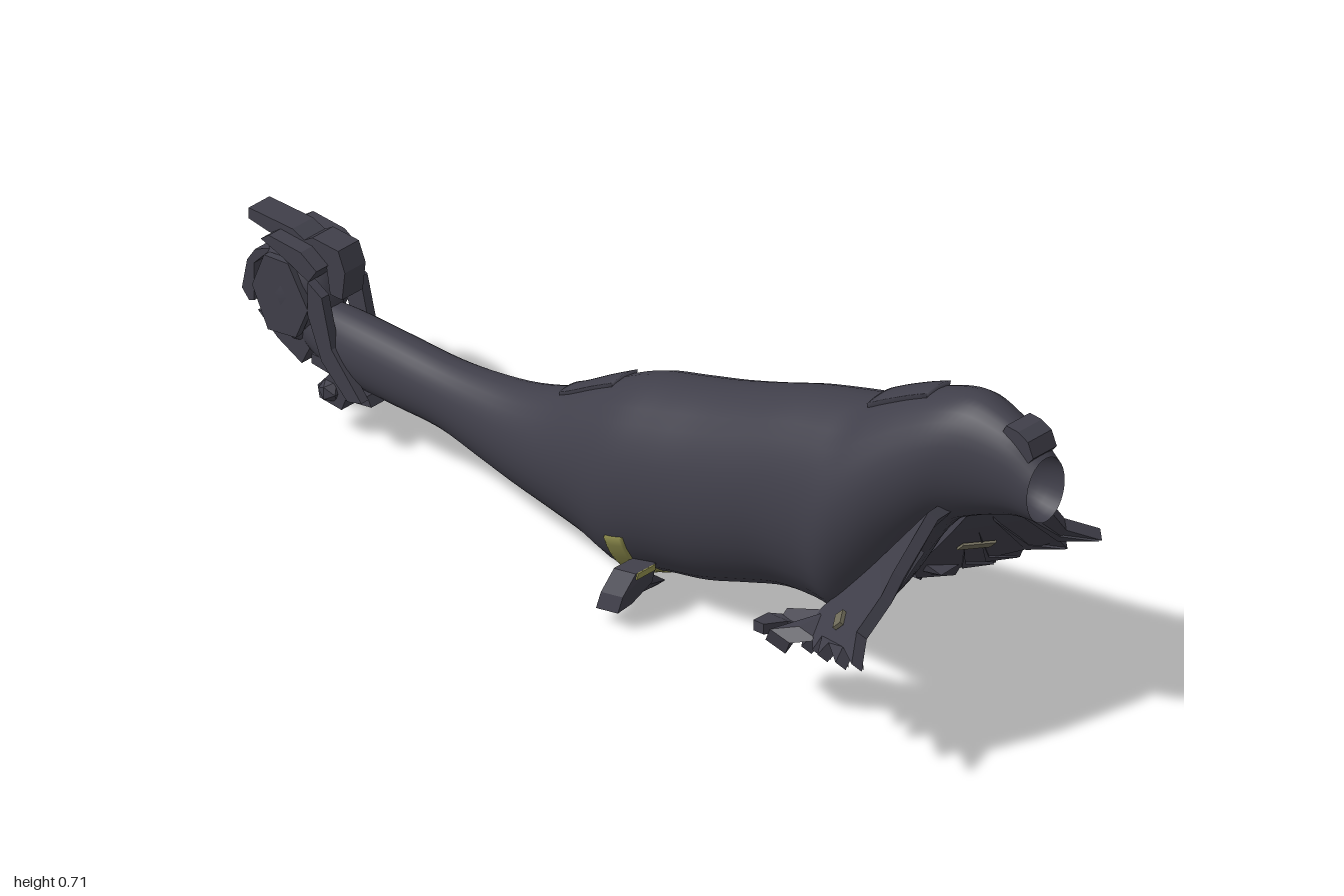
import * as THREE from 'three';

const mat = (name, color) => {
  const m = new THREE.MeshStandardMaterial({ color, side: THREE.DoubleSide });
  m.name = name;
  return m;
};

// Hull stations: x, top y, bottom y, half width
const stations = [
  [-0.86, 0.25, 0.15, 0.035], [-0.75, 0.255, 0.115, 0.052], [-0.62, 0.253, 0.108, 0.055],
  [-0.5, 0.25, 0.107, 0.057], [-0.4, 0.258, 0.088, 0.066], [-0.3, 0.275, 0.07, 0.081],
  [-0.2, 0.31, 0.057, 0.1], [-0.1, 0.368, 0.042, 0.122], [0, 0.42, 0.018, 0.143],
  [0.1, 0.45, 0.048, 0.147], [0.2, 0.48, 0.07, 0.147], [0.3, 0.515, 0.105, 0.147],
  [0.4, 0.553, 0.137, 0.147], [0.5, 0.583, 0.146, 0.155], [0.57, 0.603, 0.148, 0.163],
  [0.63, 0.635, 0.22, 0.152], [0.7, 0.67, 0.33, 0.13], [0.78, 0.703, 0.425, 0.107],
  [0.84, 0.715, 0.462, 0.088], [0.9, 0.703, 0.487, 0.071], [0.95, 0.682, 0.503, 0.06],
  [1, 0.643, 0.508, 0.051],
];
const curve = (f) => new THREE.CatmullRomCurve3(stations.map(f), false, 'catmullrom', 0.5);
const heights = curve((s) => new THREE.Vector3(s[0], s[1], s[2]));
const widths = curve((s) => new THREE.Vector3(s[0], s[3], 0));

// Point on the hull: u along it, angle t from the top, d outwards
function hullPoint(u, t, d = 0) {
  const p = heights.getPoint(u), w = widths.getPoint(u).y;
  const c = (p.y + p.z) / 2, h = (p.y - p.z) / 2;
  return new THREE.Vector3(p.x, c + (h + d) * Math.cos(t), (w + d) * Math.sin(t));
}

function uAtX(x) {
  let a = 0, b = 1;
  for (let k = 0; k < 30; k++) {
    const m = (a + b) / 2;
    if (heights.getPoint(m).x < x) a = m; else b = m;
  }
  return a;
}

// Smooth surface from rows of points
function surface(fn, rows, cols, closed) {
  const pos = [], idx = [], n = closed ? cols : cols + 1;
  for (let i = 0; i <= rows; i++) for (let j = 0; j < n; j++) pos.push(...fn(i, j).toArray());
  for (let i = 0; i < rows; i++) for (let j = 0; j < cols; j++) {
    const k = (j + 1) % n, a = i * n + j, b = i * n + k, c = a + n, d = b + n;
    idx.push(a, b, c, b, d, c);
  }
  const g = new THREE.BufferGeometry();
  g.setAttribute('position', new THREE.Float32BufferAttribute(pos, 3));
  g.setIndex(idx);
  g.computeVertexNormals();
  return g;
}

// Raised panel that follows the hull
function panel(x0, x1, t0, t1, rise) {
  const u0 = uAtX(x0), u1 = uAtX(x1), R = 10, C = 24;
  return surface((i, j) => {
    const edge = i === 0 || i === R || j === 0 || j === C;
    const a = Math.min(Math.max(i - 1, 0), R - 2) / (R - 2);
    const b = Math.min(Math.max(j - 1, 0), C - 2) / (C - 2);
    return hullPoint(u0 + (u1 - u0) * a, t0 + (t1 - t0) * b, edge ? -0.004 : rise);
  }, R, C, false);
}

// Flat-shaded slab: an outline of [x, y, z] points thickened along dir
function slab(points, dir) {
  const d = new THREE.Vector3(...dir).multiplyScalar(0.5);
  const size = dir.map(Math.abs), axis = size.indexOf(Math.max(...size));
  const flat = (list) => list.map((q) => new THREE.Vector2(q[(axis + 1) % 3], q[(axis + 2) % 3]));
  const p = THREE.ShapeUtils.isClockWise(flat(points)) ? [...points].reverse() : points;
  const out = [];
  const put = (q, s) => out.push(q[0] + d.x * s, q[1] + d.y * s, q[2] + d.z * s);
  for (const [a, b, c] of THREE.ShapeUtils.triangulateShape(flat(p), [])) {
    put(p[a], 1); put(p[b], 1); put(p[c], 1);
    put(p[c], -1); put(p[b], -1); put(p[a], -1);
  }
  p.forEach((a, i) => {
    const b = p[(i + 1) % p.length];
    put(a, -1); put(b, -1); put(b, 1);
    put(a, -1); put(b, 1); put(a, 1);
  });
  const g = new THREE.BufferGeometry();
  g.setAttribute('position', new THREE.Float32BufferAttribute(out, 3));
  g.computeVertexNormals();
  return g;
}

// Piece of the slanted fin sheet, outlined by [y, z] points, moved by offset along its normal
function finSheet(outline, thickness, offset = 0) {
  const normal = [0.63, -0.62, -0.46];
  const onSheet = ([y, z]) => [
    Math.min(0.285 + 0.99 * y + 0.74 * z, 0.81) + Math.max(0, z - 0.26) * 0.5, y, z]
    .map((v, i) => v + normal[i] * offset);
  return slab(outline.map(onSheet), normal.map((v) => v * thickness));
}

export function createModel() {
  const root = new THREE.Group();
  const hullMat = mat('dark slate', 0x403f4a);
  const olive = mat('olive', 0x908e4e);
  const dull = mat('dull olive', 0x706c5a);
  const add = (parent, name, g, m = hullMat) => {
    const mesh = new THREE.Mesh(g, m);
    mesh.name = name;
    parent.add(mesh);
    return mesh;
  };

  // Hull, open at the nose, with a hollow mouth
  add(root, 'hull', surface((i, j) => hullPoint(i / 84, j / 32 * Math.PI * 2), 84, 32, true));
  add(root, 'mouth', surface((i, j) => {
    const a = i / 8 * Math.PI / 2, t = j / 32 * Math.PI * 2;
    return new THREE.Vector3(1 - 0.09 * Math.sin(a), 0.5755 + 0.0675 * Math.cos(a) * Math.cos(t),
      0.051 * Math.cos(a) * Math.sin(t));
  }, 8, 32, true));
  add(root, 'tailCap', new THREE.SphereGeometry(0.05, 16, 10)).position.set(-0.86, 0.2, 0);

  // Raised hatches along the back, nose block, belly bands
  add(root, 'frontHatch', panel(0.59, 0.73, -0.26, 0.26, 0.009));
  add(root, 'rearHatch', panel(-0.2, -0.06, -0.26, 0.26, 0.007));
  add(root, 'noseBlock', slab([[0.92, 0.68, 0], [0.93, 0.699, 0], [0.96, 0.697, 0],
    [0.985, 0.685, 0], [0.998, 0.655, 0], [0.985, 0.64, 0]], [0, 0, 0.064]));
  add(root, 'bellyBand', panel(0.012, 0.058, 2.0, Math.PI * 2 - 2.0, 0.004), olive);
  add(root, 'bellyPatch', panel(0.03, 0.09, 2.4, Math.PI * 2 - 2.4, 0.003), olive);

  // Paired front fins and belly claws
  for (const side of [1, -1]) {
    const fin = new THREE.Group();
    fin.name = side > 0 ? 'leftFin' : 'rightFin';
    fin.scale.z = side;
    root.add(fin);
    add(fin, 'finBlade', finSheet([
      [0.49, 0.055], [0.487, 0.1], [0.4, 0.195], [0.36, 0.225], [0.3, 0.275], [0.27, 0.33],
      [0.262, 0.285], [0.237, 0.305], [0.232, 0.255], [0.203, 0.265], [0.208, 0.215],
      [0.188, 0.24], [0.18, 0.19], [0.152, 0.2], [0.155, 0.14], [0.19, 0.115], [0.33, 0.09],
    ], 0.024));
    // Feather ridges on the front face, from the root to each tip
    const tips = [[0.272, 0.325], [0.242, 0.3], [0.208, 0.26], [0.19, 0.235]];
    tips.forEach(([y, z], i) => add(fin, 'feather', finSheet(
      [[0.42 - i * 0.05, 0.12 + i * 0.008], [y + 0.012, z - 0.05], [y, z], [y - 0.005, z - 0.045]], 0.012, 0.01)));
    // Painted marks on both faces
    add(fin, 'frontMark', finSheet([[0.284, 0.133], [0.284, 0.183], [0.268, 0.183], [0.268, 0.133]], 0.005, 0.0165), dull);
    add(fin, 'backMark', finSheet([[0.265, 0.192], [0.265, 0.23], [0.246, 0.23], [0.246, 0.192]], 0.008, -0.016), dull);
    // Hooked lower tip
    add(fin, 'finHook', slab([[0.6, 0.195, 0.12], [0.59, 0.19, 0.2], [0.54, 0.175, 0.225],
      [0.52, 0.14, 0.215], [0.5, 0.138, 0.17], [0.5, 0.165, 0.135]], [0.05, -0.01, 0]));
    add(fin, 'finSpur', slab([[0.45, 0.15, 0.16], [0.46, 0.16, 0.21], [0.49, 0.165, 0.215],
      [0.51, 0.16, 0.17], [0.55, 0.16, 0.165], [0.55, 0.15, 0.145], [0.48, 0.15, 0.14]], [0, 0.022, 0]));

    const claw = new THREE.Group();
    claw.name = side > 0 ? 'leftClaw' : 'rightClaw';
    claw.scale.z = side;
    root.add(claw);
    add(claw, 'outerPod', slab([[0.085, 0.1, 0.1], [0.085, 0.1, 0.155], [0.085, 0.065, 0.19],
      [0.08, 0.032, 0.198], [0.075, 0.032, 0.155], [0.075, 0.055, 0.1]], [0.055, 0.01, 0]));
    add(claw, 'innerPad', slab([[0.055, 0.022, 0.04], [0.07, 0.07, 0.1], [0.075, 0.06, 0.16],
      [0.06, 0.04, 0.14], [0.05, 0.024, 0.09], [0.04, 0.01, 0.085], [0.04, 0.008, 0.045]], [0.05, 0.015, 0]));
    add(claw, 'clawMark', slab([[0.086, 0.1, 0.105], [0.086, 0.1, 0.152],
      [0.086, 0.088, 0.155], [0.086, 0.088, 0.105]], [0.06, 0.011, 0]), olive);
  }

  // Tail hub with its clamps
  const tail = new THREE.Group();
  tail.name = 'tail';
  root.add(tail);
  const xy = (list, depth, z = 0) => slab(list.map(([x, y]) => [x, y, z]), [0, 0, depth]);
  const hub = add(tail, 'hub', new THREE.SphereGeometry(1, 16, 10));
  hub.scale.set(0.088, 0.108, 0.064);
  hub.position.set(-0.868, 0.265, 0);
  add(tail, 'topClamp', xy([[-0.98, 0.37], [-0.98, 0.393], [-0.87, 0.392], [-0.84, 0.38], [-0.82, 0.393],
    [-0.755, 0.39], [-0.738, 0.35], [-0.745, 0.29], [-0.775, 0.29], [-0.785, 0.35],
    [-0.84, 0.36], [-0.93, 0.362]], 0.056));
  add(tail, 'topRidge', xy([[-0.92, 0.365], [-0.9, 0.38], [-0.82, 0.375], [-0.78, 0.35], [-0.8, 0.32],
    [-0.86, 0.345]], 0.12));
  add(tail, 'rearStrut', xy([[-0.965, 0.31], [-0.985, 0.28], [-0.998, 0.215], [-0.98, 0.195],
    [-0.967, 0.2], [-0.967, 0.28], [-0.92, 0.33]], 0.054));
  add(tail, 'hubFoot', xy([[-0.95, 0.19], [-0.9, 0.15], [-0.84, 0.12], [-0.82, 0.16], [-0.87, 0.2]], 0.07));
  add(tail, 'lowerClamp', xy([[-0.815, 0.15], [-0.815, 0.13], [-0.77, 0.125], [-0.8, 0.09], [-0.795, 0.065],
    [-0.74, 0.06], [-0.73, 0.085], [-0.665, 0.095], [-0.675, 0.115], [-0.74, 0.15]], 0.07));
  for (const s of [1, -1]) {
    add(tail, 'sideStrap', xy([[-0.8, 0.32], [-0.765, 0.3], [-0.74, 0.2], [-0.665, 0.115], [-0.7, 0.105],
      [-0.765, 0.165], [-0.8, 0.25]], 0.02, s * 0.052));
    add(tail, 'hubPlate', xy([[-0.94, 0.26], [-0.91, 0.335], [-0.85, 0.34], [-0.8, 0.26], [-0.83, 0.19],
      [-0.9, 0.18]], 0.016, s * 0.054));
    add(tail, 'footKnob', new THREE.IcosahedronGeometry(0.025, 0)).position.set(-0.77, 0.09, s * 0.03);
  }
  return root;
}
